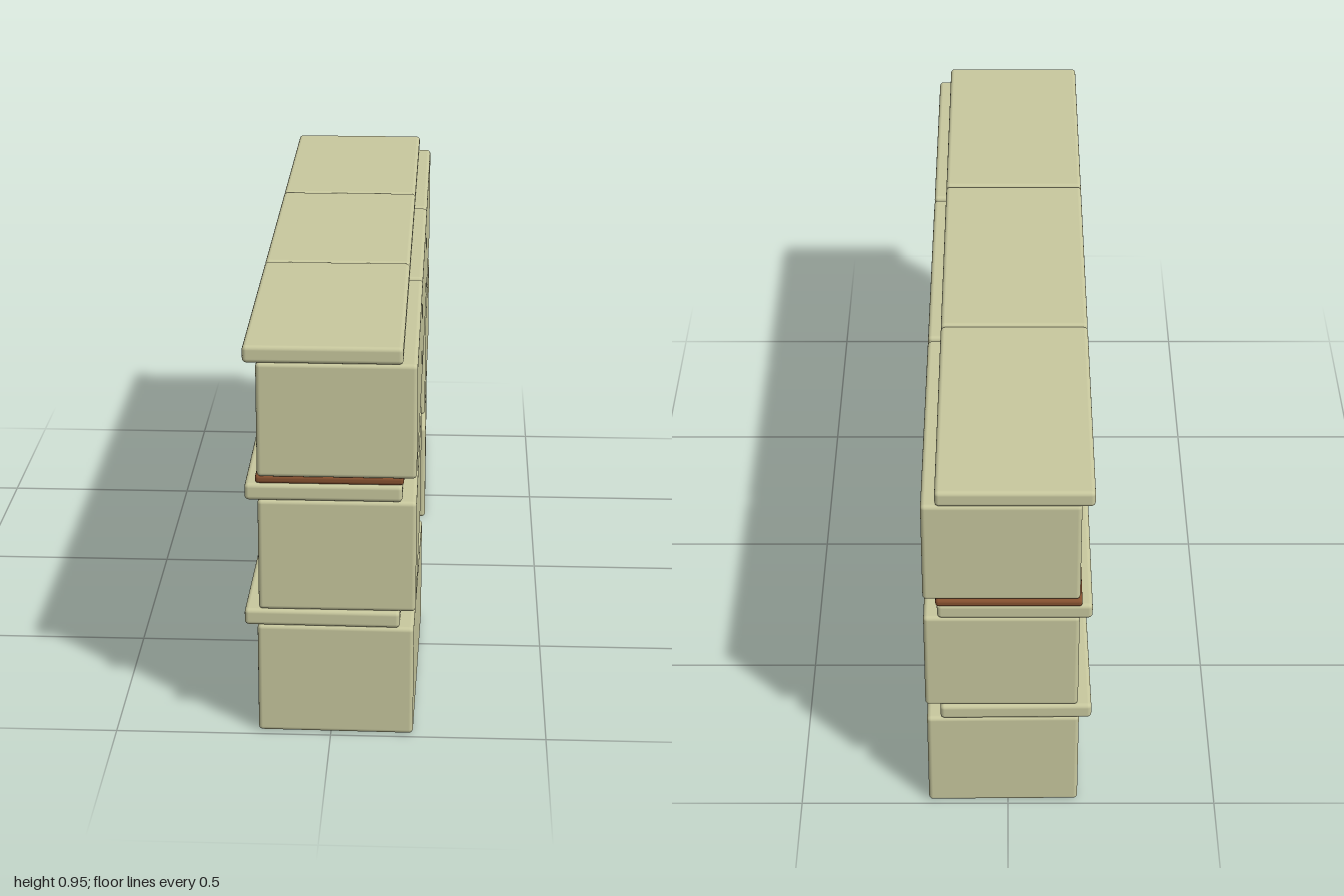
import * as THREE from 'three';
import { RoundedBoxGeometry } from 'three/addons/geometries/RoundedBoxGeometry.js';

const cream = new THREE.MeshStandardMaterial({ color: 0xc8c89e });
cream.name = 'cream stone';
const brown = new THREE.MeshStandardMaterial({ color: 0x85502f });
brown.name = 'brown board';

// Rounded slab given by its minimum and maximum corners
function slab(name, material, min, max, radius) {
  const size = max.map((v, i) => v - min[i]);
  const mesh = new THREE.Mesh(new RoundedBoxGeometry(...size, 3, radius), material);
  mesh.position.set(...max.map((v, i) => (v + min[i]) / 2));
  mesh.name = name;
  return mesh;
}

// One block: a tall body with an offset lid on top
function block(name, y, z, yaw = 0) {
  const group = new THREE.Group();
  group.name = name;
  group.add(
    slab('body', cream, [-0.165, 0, -0.329], [0.195, 0.27, 0.329], 0.01),
    slab('lid', cream, [-0.194, 0.27, -0.332], [0.163, 0.31, 0.332], 0.01)
  );
  group.position.set(0, y, z);
  group.rotation.y = yaw;
  return group;
}

export function createModel() {
  const model = new THREE.Group();
  model.name = 'blockArch';

  // Two pillars of two blocks, the lowest ones set slightly askew
  for (const [side, z, yaw] of [['front', 0.656, -0.012], ['back', -0.659, 0.01]]) {
    model.add(block(side + 'LowerBlock', 0, z, yaw));
    model.add(block(side + 'MiddleBlock', 0.31, z));
  }

  // Board bridging the pillars
  model.add(slab('bridgeBoard', brown, [-0.17, 0.62, -0.997], [0.166, 0.64, 0.985], 0.008));

  // Top row of three blocks
  [0.667, 0, -0.667].forEach((z, i) => model.add(block('topBlock' + (i + 1), 0.64, z)));
  return model;
}
